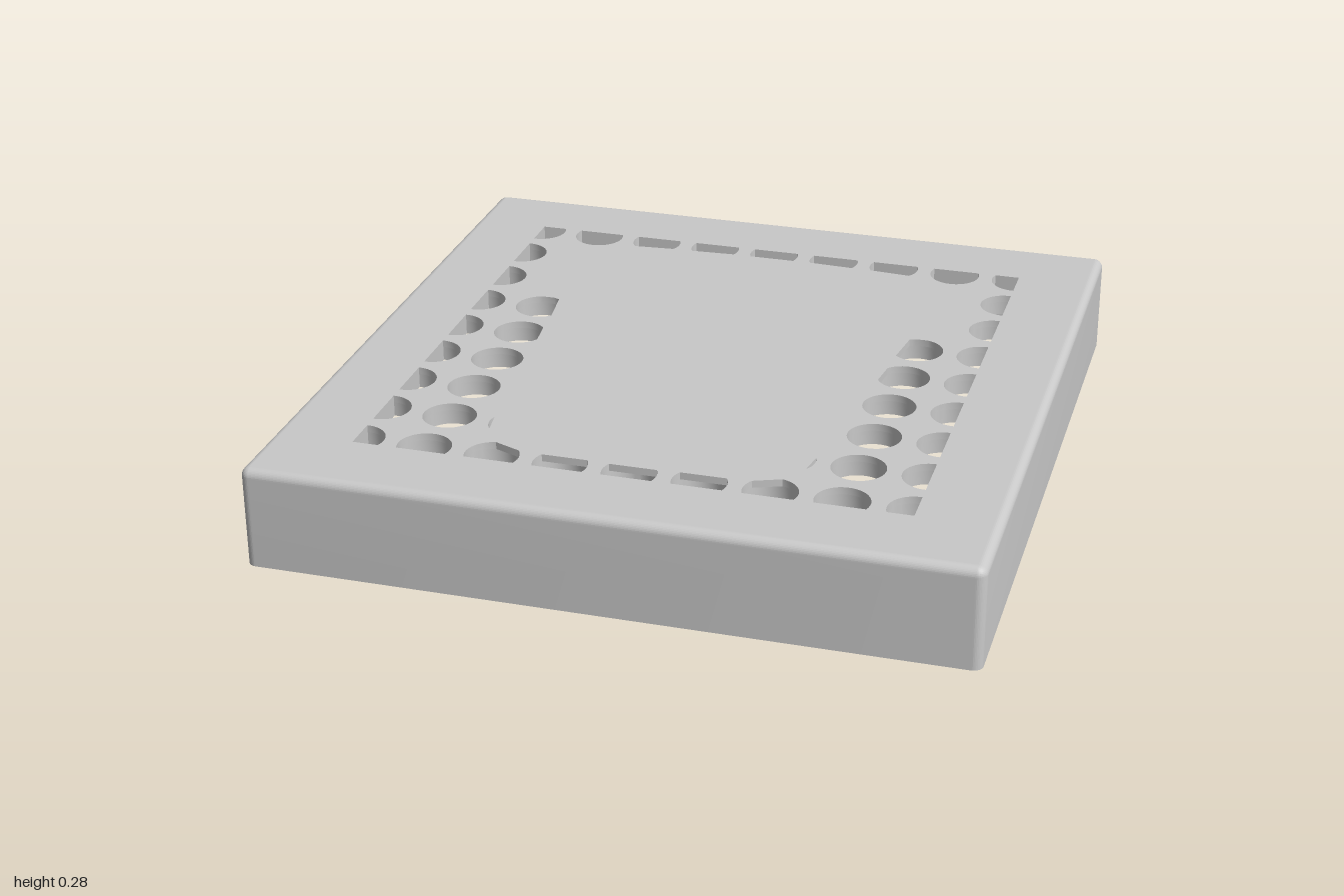
import * as THREE from 'three';
import { toCreasedNormals } from 'three/addons/utils/BufferGeometryUtils.js';

const HALF_X = 0.973, HALF_Z = 1, HEIGHT = 0.282;
const EDGE = 0.025, WALL = 0.02, STEPS = 10;
const PANEL_Y = 0.222, COVER_Y = 0.262;    // underside of the panel and of its closed skin
const PITCH = 0.1867, RADIUS = 0.073;

// Rounded rectangle in x/z, shrunk by an inset
function outline(inset) {
  const r = Math.max(EDGE + 0.002 - inset, 0.002), pts = [];
  const cx = HALF_X - inset - r, cz = HALF_Z - inset - r;
  [[1, 1], [-1, 1], [-1, -1], [1, -1]].forEach(([sx, sz], q) => {
    for (let i = 0; i <= STEPS; i++) {
      const a = (q + i / STEPS) * Math.PI / 2;
      pts.push([sx * cx + r * Math.cos(a), sz * cz + r * Math.sin(a)]);
    }
  });
  return pts;
}

// Skin a row of [inset, y] rings; the low crease angle keeps the walls flat
function loft(rings) {
  const pos = [], index = [];
  const n = outline(0).length;
  rings.forEach(([inset, y]) => outline(inset).forEach(([x, z]) => pos.push(x, y, z)));
  for (let k = 0; k < rings.length - 1; k++) {
    for (let i = 0; i < n; i++) {
      const a = k * n + i, b = k * n + (i + 1) % n;
      index.push(a, a + n, b, b, a + n, b + n);
    }
  }
  const g = new THREE.BufferGeometry();
  g.setAttribute('position', new THREE.Float32BufferAttribute(pos, 3));
  g.setIndex(index);
  return toCreasedNormals(g, 0.1);
}

// Keep the part of a convex polygon where nx*x + nz*z <= d
function clip(poly, [nx, nz, d]) {
  const out = [];
  poly.forEach((p, i) => {
    const q = poly[(i + 1) % poly.length];
    const dp = nx * p[0] + nz * p[1] - d, dq = nx * q[0] + nz * q[1] - d;
    if (dp <= 0) out.push(p);
    if (dp * dq < 0) {
      const t = dp / (dp - dq);
      out.push([p[0] + (q[0] - p[0]) * t, p[1] + (q[1] - p[1]) * t]);
    }
  });
  return out;
}

// One round hole of the grid, trimmed to the vent rectangle and any extra lines
function hole(i, j, cuts = []) {
  const poly = [];
  for (let k = 0; k < 40; k++) {
    const a = (k + 0.5) / 40 * Math.PI * 2;
    poly.push([i * PITCH + RADIUS * Math.cos(a), j * PITCH + RADIUS * Math.sin(a)]);
  }
  const frame = [[1, 0, 0.75], [-1, 0, 0.75], [0, 1, 0.775], [0, -1, 0.775]];
  return [...frame, ...cuts].reduce(clip, poly);
}

// Trim lines of the holes partly closed by the skin, for x >= 0, keyed by column,row
const CUTS = {
  '0,-4': [[0, 1, -0.718]],
  '1,-4': [[-0.05, 1, -0.7245]],
  '2,-4': [[-0.08, 1, -0.735], [0.8, 1, -0.357]],
  '3,-1': [[0, -1, 0.258], [-1, -0.13, -0.4925]],
  '3,0': [[-1, -0.12, -0.499]],
  '2,3': [[-1, -0.15, -0.522]],
  '2,4': [[-0.4, -1, -0.83]],
  '1,4': [[0, -1, -0.709]],
  '0,4': [[0, -1, -0.713]],
};
const OPEN = new Set(['3,-4', '3,1', '3,2', '3,3', '3,4']);

// Horizontal plate with holes
function plate(inset, holes, y0, y1) {
  const toPoints = pts => pts.map(([x, z]) => new THREE.Vector2(x, -z)).reverse();
  const shape = new THREE.Shape(toPoints(outline(inset)));
  holes.forEach(h => shape.holes.push(new THREE.Path(toPoints(h))));
  const g = new THREE.ExtrudeGeometry(shape, { depth: y1 - y0, bevelEnabled: false });
  g.rotateX(-Math.PI / 2);
  g.translate(0, y0, 0);
  return toCreasedNormals(g, 0.4);
}

export function createModel() {
  const group = new THREE.Group();
  const grey = new THREE.MeshStandardMaterial({ color: 0xc9c9c9 });
  grey.name = 'plain grey';
  const add = (geometry, name) => {
    const mesh = new THREE.Mesh(geometry, grey);
    mesh.name = name;
    group.add(mesh);
    return mesh;
  };

  // Side walls: down the inside, under the rim, up the outside, over the rounded edge
  const rings = [[WALL, PANEL_Y], [WALL, 0], [0, 0]];
  for (let k = 0; k <= STEPS; k++) {
    const a = k / STEPS * Math.PI / 2;
    rings.push([EDGE * (1 - Math.cos(a)), HEIGHT - EDGE * (1 - Math.sin(a))]);
  }
  add(loft(rings), 'sideWalls');

  // Hole grid below, and the skin above that closes its middle
  const all = [], open = [];
  for (let i = -4; i <= 4; i++) {
    for (let j = -4; j <= 4; j++) {
      all.push(hole(i, j));
      const key = `${Math.abs(i)},${j}`;
      if (Math.abs(i) === 4 || OPEN.has(key)) open.push(hole(i, j));
      else if (CUTS[key]) {
        const side = i < 0 ? -1 : 1;
        open.push(hole(i, j, CUTS[key].map(([nx, nz, d]) => [nx * side, nz, d])));
      }
    }
  }
  add(plate(WALL, all, PANEL_Y, COVER_Y), 'ventPanel');
  add(plate(EDGE, open, COVER_Y, HEIGHT), 'topSkin');

  // Snap bumps inside the left and right walls
  for (const sx of [-1, 1]) {
    for (const sz of [-1, 1]) {
      add(new THREE.SphereGeometry(0.03, 20, 14), 'snapBump')
        .position.set(sx * (HALF_X - 0.0295), 0.105, sz * 0.5);
    }
  }
  return group;
}
